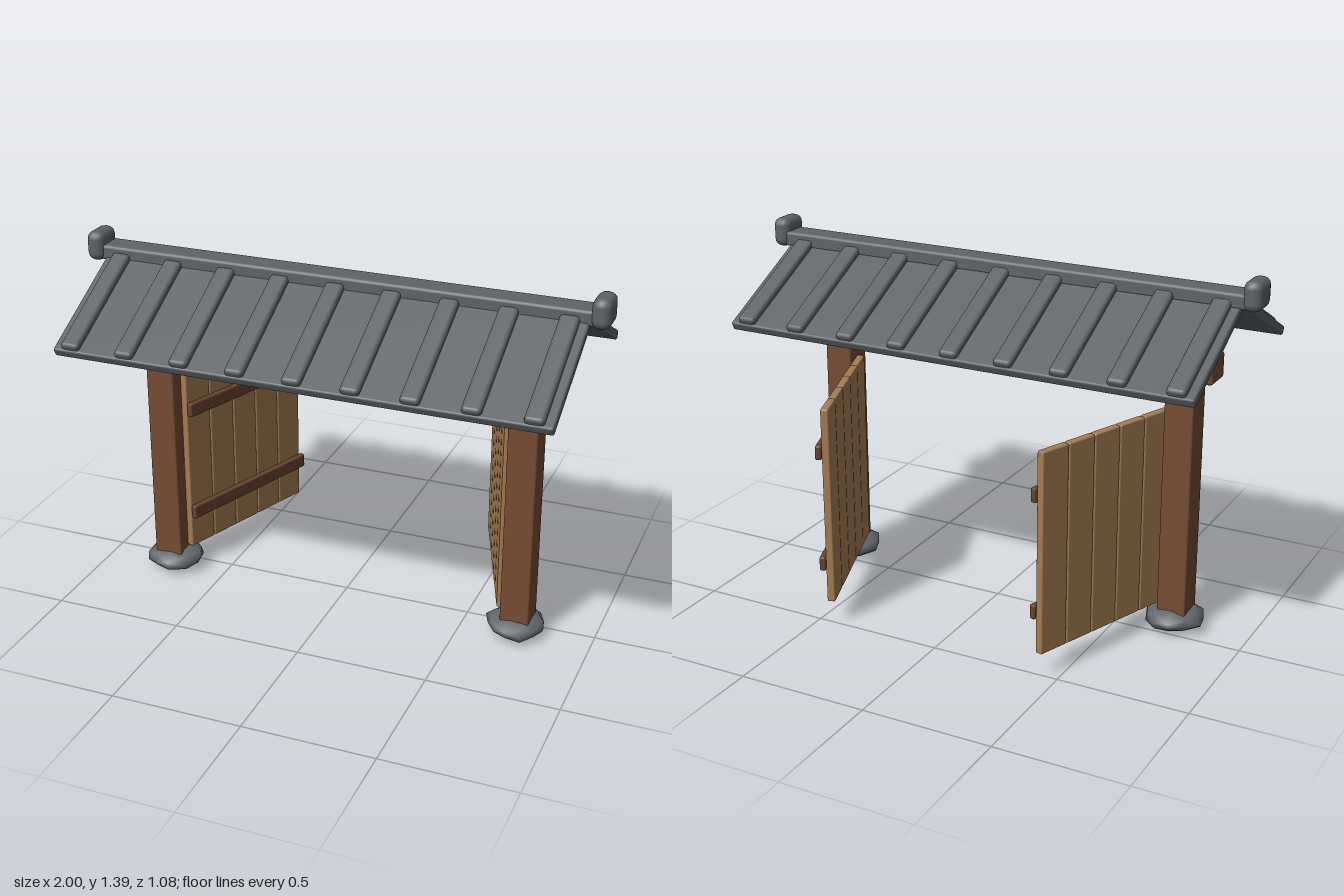
import * as THREE from 'three';
import { RoundedBoxGeometry } from 'three/addons/geometries/RoundedBoxGeometry.js';
import { mergeVertices } from 'three/addons/utils/BufferGeometryUtils.js';

const material = (name, color) => {
  const m = new THREE.MeshStandardMaterial({ color });
  m.name = name;
  return m;
};

export function createModel() {
  const slate = material('slate grey', 0x5f6468);
  const stone = material('stone grey', 0x63686d);
  const timber = material('dark timber', 0x764c34);
  const strapWood = material('strap timber', 0x6a4330);
  const plankWood = material('light plank', 0xa67d53);

  const model = new THREE.Group();
  model.name = 'roofedGate';
  const midZ = 0.073; // gate frame plane

  // Softly bevelled box with its centre at x, y, z
  const box = (parent, name, mat, [w, h, d], [x, y, z], radius = 0.008) => {
    const mesh = new THREE.Mesh(new RoundedBoxGeometry(w, h, d, 2, radius), mat);
    mesh.name = name;
    mesh.position.set(x, y, z);
    parent.add(mesh);
    return mesh;
  };

  // Lumpy flattened footing stone with smooth normals
  const footing = (seed) => {
    let g = new THREE.IcosahedronGeometry(1, 1);
    g.deleteAttribute('normal');
    g.deleteAttribute('uv');
    g = mergeVertices(g, 1e-3);
    const p = g.attributes.position;
    for (let i = 0; i < p.count; i++) {
      const k = 1 + 0.09 * Math.sin(i * 2.7 + seed);
      p.setXYZ(i, p.getX(i) * k, p.getY(i) * (0.95 + 0.05 * Math.sin(i + seed)), p.getZ(i) * k);
    }
    g.scale(0.115, 0.049, 0.115);
    g.computeBoundingBox();
    g.translate(0, -g.boundingBox.min.y, 0);
    g.computeVertexNormals();
    return g;
  };

  // Posts on stones
  for (const s of [-1, 1]) {
    box(model, 'post', timber, [0.112, 0.95, 0.115], [s * 0.718, 0.545, midZ]);
    const rock = new THREE.Mesh(footing(s * 1.3), stone);
    rock.name = 'footingStone';
    rock.position.set(s * 0.712, 0.004, 0.07);
    rock.rotation.y = s * 0.4;
    model.add(rock);
  }

  // Lintel and the flat board above it
  box(model, 'lintel', timber, [1.68, 0.1, 0.12], [0, 1.05, midZ], 0.012);
  box(model, 'lintelBoard', plankWood, [1.54, 0.055, 0.355], [0, 1.127, midZ], 0.01);

  // Roof slopes with raised ribs; each group's +z runs down the slope
  const pitch = THREE.MathUtils.degToRad(26.9);
  for (const s of [1, -1]) {
    const turn = new THREE.Group();
    turn.name = s > 0 ? 'frontRoof' : 'backRoof';
    turn.position.set(0, 1.284, midZ);
    turn.rotation.y = s > 0 ? 0 : Math.PI;
    const slope = new THREE.Group();
    slope.name = 'roofSlope';
    slope.rotation.x = pitch;
    turn.add(slope);
    model.add(turn);
    box(slope, 'roofPanel', slate, [1.85, 0.036, 0.5], [0, 0.018, 0.25]);
    for (let i = -4; i <= 4; i++) {
      box(slope, 'roofRib', slate, [0.07, 0.045, 0.475], [i * 0.2145, 0.0375, 0.2555], 0.014);
    }
  }

  // Ridge and its end caps
  box(model, 'ridgeBeam', slate, [1.9, 0.058, 0.1], [0, 1.318, midZ - 0.006], 0.012);
  for (const s of [-1, 1]) {
    box(model, 'ridgeCap', slate, [0.07, 0.112, 0.126], [s * 0.965, 1.34, midZ - 0.002], 0.03);
  }

  // Open doors; both carry their straps on the +x face
  const planks = 5, plankWidth = 0.1265;
  const swing = THREE.MathUtils.degToRad(20);
  for (const s of [-1, 1]) {
    const door = new THREE.Group();
    door.name = s > 0 ? 'leftDoor' : 'rightDoor';
    door.position.set(s * 0.65, 0, midZ);
    door.rotation.y = s * swing;
    for (let i = 0; i < planks; i++) {
      box(door, 'doorPlank', plankWood, [0.03, 0.77, plankWidth - 0.002],
        [0, 0.485, -(i + 0.5) * plankWidth], 0.006);
    }
    for (const y of [0.258, 0.703]) {
      box(door, 'doorStrap', strapWood, [0.024, 0.056, 0.638], [0.026, y, -0.322], 0.007);
    }
    model.add(door);
  }
  return model;
}
